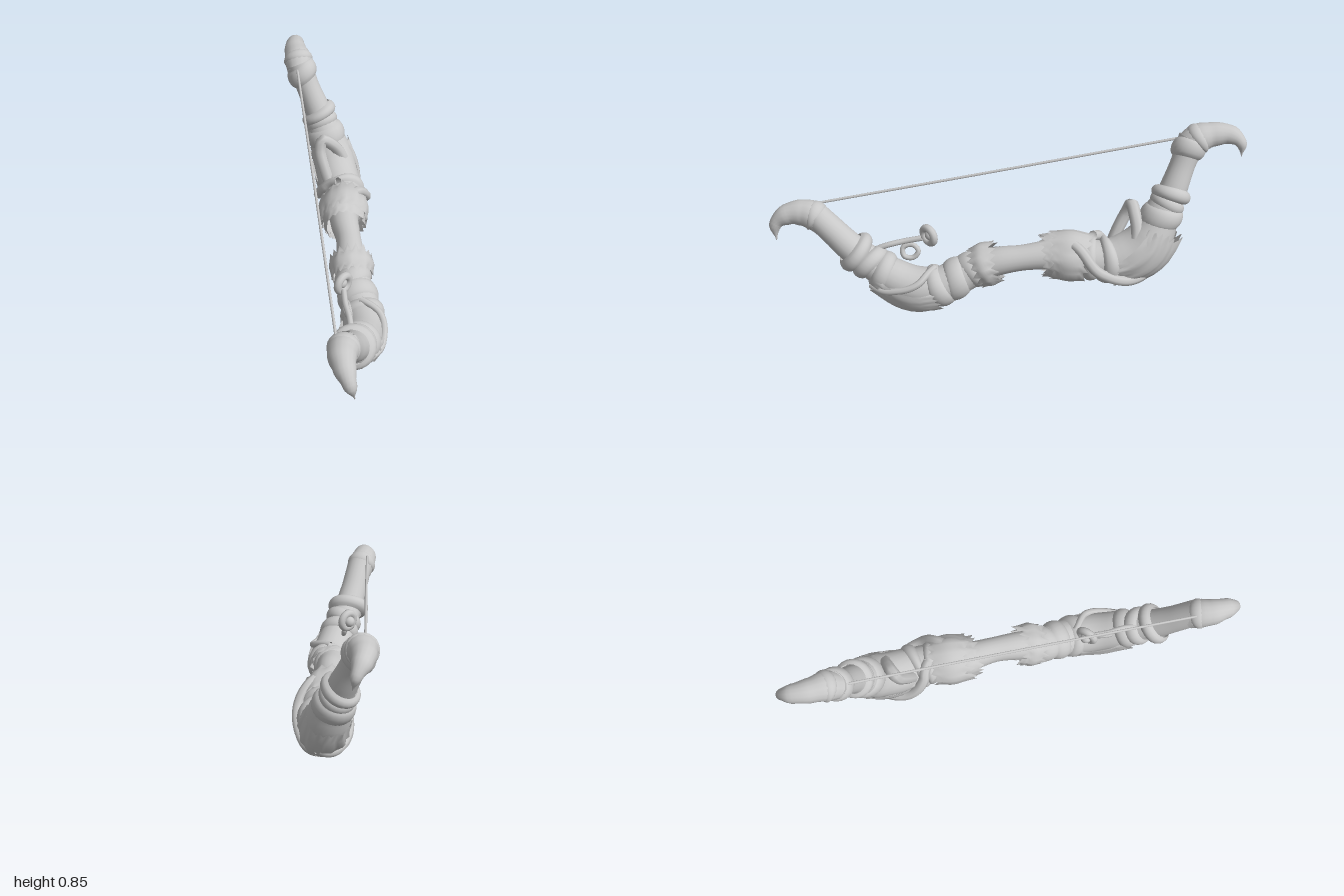
import * as THREE from 'three';

const grey = new THREE.MeshStandardMaterial({ color: 0xc8c8c8, side: THREE.DoubleSide });
grey.name = 'grey';

// limb centreline: x, y, z, radius
const LIMB = [
  [-0.31, 0.79, -0.765, 0.062], [-0.255, 0.68, -0.74, 0.056], [-0.2, 0.57, -0.715, 0.062],
  [-0.155, 0.47, -0.685, 0.082], [-0.105, 0.36, -0.645, 0.1], [-0.055, 0.29, -0.56, 0.1],
  [-0.005, 0.27, -0.46, 0.088], [0.02, 0.28, -0.36, 0.088], [0.05, 0.28, -0.24, 0.066],
  [0.1, 0.27, -0.12, 0.058], [0.14, 0.245, 0, 0.065], [0.175, 0.2, 0.1, 0.08],
  [0.235, 0.145, 0.2, 0.085], [0.272, 0.125, 0.3, 0.093], [0.288, 0.155, 0.42, 0.088],
  [0.292, 0.215, 0.53, 0.072], [0.293, 0.28, 0.63, 0.066], [0.295, 0.35, 0.71, 0.062],
  [0.3, 0.425, 0.79, 0.06],
];
const BACK_HORN = [
  [-0.295, 0.755, -0.745, 0.06], [-0.315, 0.79, -0.79, 0.066], [-0.345, 0.805, -0.85, 0.054],
  [-0.365, 0.805, -0.92, 0.043], [-0.362, 0.775, -0.97, 0.026], [-0.35, 0.715, -0.98, 0.002],
];
const FRONT_HORN = [
  [0.295, 0.39, 0.76, 0.06], [0.297, 0.42, 0.805, 0.066], [0.305, 0.428, 0.86, 0.06],
  [0.33, 0.42, 0.92, 0.048], [0.362, 0.38, 0.965, 0.03], [0.382, 0.305, 0.957, 0.002],
];

const vec = p => new THREE.Vector3(p[0], p[1], p[2]);
const makeSpine = pts => ({
  curve: new THREE.CatmullRomCurve3(pts.map(vec)),
  last: pts.length - 1,
  radius(i) {
    const k = Math.min(Math.max(Math.floor(i), 0), pts.length - 2);
    return THREE.MathUtils.lerp(pts[k][3], pts[k + 1][3], THREE.MathUtils.smoothstep(i - k, 0, 1));
  },
});

// point at station i, angle a (PI/2 faces the string, 3PI/2 the outside), distance r
function around(spine, i, a, r) {
  const u = THREE.MathUtils.clamp(i / spine.last, 0, 1);
  const t = spine.curve.getTangent(u);
  const up = t.clone().cross(new THREE.Vector3(1, 0, 0)).normalize();
  const side = t.clone().cross(up);
  return spine.curve.getPoint(u)
    .addScaledVector(side, Math.cos(a) * r).addScaledVector(up, Math.sin(a) * r);
}

// skin over a spine; rule(v, a, col) returns [station, radius]
function skin(name, spine, rows, cols, rule, a0 = 0, a1 = Math.PI * 2) {
  const closed = a1 - a0 > 6.28, w = closed ? cols : cols + 1;
  const pos = [], index = [];
  for (let i = 0; i <= rows; i++) for (let j = 0; j < w; j++) {
    const a = a0 + (a1 - a0) * j / cols;
    const [s, r] = rule(i / rows, a, j);
    pos.push(...around(spine, s, a, r).toArray());
  }
  for (let i = 0; i < rows; i++) for (let j = 0; j < cols; j++) {
    const k = (j + 1) % w;
    const p = i * w + j, q = i * w + k;
    index.push(p, p + w, q, q, p + w, q + w);
  }
  const g = new THREE.BufferGeometry();
  g.setAttribute('position', new THREE.Float32BufferAttribute(pos, 3));
  g.setIndex(index);
  g.computeVertexNormals();
  return named(name, g);
}

function named(name, geometry) {
  const m = new THREE.Mesh(geometry, grey);
  m.name = name;
  return m;
}

let seed = 7;
const rand = () => (seed = (seed * 16807) % 2147483647) / 2147483647;

// rounded wrap around the limb, leaning by tilt stations
const band = (name, spine, i0, i1, r, tilt = 0, phase = 0) => skin(name, spine, 8, 24, (v, a) => [
  i0 + (i1 - i0) * v + tilt * Math.sin(a + phase),
  r * (0.76 + 0.24 * Math.pow(Math.sin(Math.PI * v), 0.6)),
]);

// ragged pelt: swollen middle, torn pointed tips at both ends, flanks drawn in by squash
function fur(name, spine, i0, i1, r, squash = 0, a0 = 0, a1 = Math.PI * 2, cols = 30) {
  const tips = Array.from({ length: cols + 1 }, (_, j) => (j % 2 ? 0.14 : -0.06) + rand() * 0.1);
  const rough = tips.map(() => 0.95 + rand() * 0.1);
  return skin(name, spine, 8, cols, (v, a, j) => {
    const end = Math.abs(2 * v - 1);
    const reach = tips[j] * Math.pow(end, 3) * Math.sign(v - 0.5);
    const flare = j % 2 ? 0.08 * Math.pow(end, 4) : 0;
    const flank = 1 - squash * Math.cos(a) ** 2;
    return [i0 + (i1 - i0) * v + reach, r * flank * rough[j] * (1 - 0.16 * end * end + flare)];
  }, a0, a1);
}

// strap wound along the limb from station i0 to i1, angle a0 to a1
function strap(name, spine, i0, i1, a0, a1, lift, thick) {
  const pts = [];
  for (let k = 0; k <= 12; k++) {
    const i = i0 + (i1 - i0) * k / 12;
    pts.push(around(spine, i, a0 + (a1 - a0) * k / 12, spine.radius(i) + lift));
  }
  return named(name, new THREE.TubeGeometry(new THREE.CatmullRomCurve3(pts), 36, thick, 8));
}

const cord = (name, pts, r, closed = false) => named(name,
  new THREE.TubeGeometry(new THREE.CatmullRomCurve3(pts.map(vec), closed), 32, r, 8, closed));

export function createModel() {
  const bow = new THREE.Group();
  bow.name = 'bow';
  const limb = makeSpine(LIMB), back = makeSpine(BACK_HORN), front = makeSpine(FRONT_HORN);

  // wooden body and curved horn tips
  bow.add(skin('limb', limb, 90, 20, v => [v * 18, limb.radius(v * 18)]));
  [['backHorn', back], ['frontHorn', front]].forEach(([name, s]) =>
    bow.add(skin(name, s, 24, 16, v => [v * s.last, s.radius(v * s.last)])));

  // collars under the horns
  bow.add(band('backHornCollar', limb, 0.05, 0.75, 0.076, 0.12, 1));
  bow.add(band('backHornKnot', back, 0.7, 1.4, 0.07, 0.1));
  bow.add(band('frontHornCollar', front, 0.4, 1.3, 0.07, 0.1));

  // stacked wraps: start, end, radius, tilt, phase
  [
    [1.9, 2.4, 0.088, 0.12, 1], [2.25, 2.8, 0.08, 0.08, 2], [2.65, 3.5, 0.094, 0.1, 0],
    [5.6, 6.2, 0.108, 0.2, 2], [6.2, 6.8, 0.1, 0.1, 0],
    [10.5, 11.3, 0.087, 0.12, 1], [11.2, 12, 0.094, 0.12, 3], [11.9, 12.7, 0.1, 0.1, 0],
    [14.2, 14.85, 0.094, 0.08, 1], [14.8, 15.4, 0.09, 0.1, 4], [15.45, 16.05, 0.098, 0.12, 2],
  ].forEach(([i0, i1, r, t, p], k) => bow.add(band('wrap' + (k + 1), limb, i0, i1, r, t, p)));

  // fur cuffs beside the grip
  bow.add(fur('rearFurCuff', limb, 6.75, 7.9, 0.118));
  bow.add(fur('rearFurCuffInner', limb, 7.5, 8.2, 0.1));
  bow.add(fur('gripFurCuff', limb, 10.0, 10.65, 0.1));

  // fur pelts on the outer bends
  bow.add(fur('rearPelt', limb, 3.65, 5.5, 0.136, 0.2, Math.PI * 0.9, Math.PI * 2.1, 26));
  bow.add(fur('frontPelt', limb, 12.5, 14.4, 0.119, 0.12, Math.PI * 0.95, Math.PI * 2.05, 26));

  // crossing straps
  bow.add(strap('rearStrap', limb, 7.2, 4.6, Math.PI * 0.65, Math.PI * 1.5, 0.018, 0.024));
  bow.add(strap('rearStrapLower', limb, 6.6, 4.2, Math.PI * 2.4, Math.PI * 1.5, 0.018, 0.024));
  bow.add(strap('frontStrap', limb, 12.2, 14.6, Math.PI * 0.5, Math.PI * 1.2, 0.006, 0.016));
  bow.add(cord('rearLoop', [[-0.06, 0.27, -0.47], [-0.11, 0.38, -0.5], [-0.14, 0.46, -0.53],
    [-0.135, 0.507, -0.55], [-0.1, 0.48, -0.575], [-0.06, 0.42, -0.6], [-0.02, 0.34, -0.6]], 0.028));

  // hanging bead with its cords
  const bead = named('bead', new THREE.TorusGeometry(0.036, 0.018, 10, 20));
  bead.position.set(0.175, 0.345, 0.3);
  bead.rotation.y = Math.PI * 0.35;
  const core = named('beadCore', new THREE.SphereGeometry(0.026, 14, 10));
  core.position.set(0.165, 0.343, 0.295);
  bow.add(bead, core);
  bow.add(cord('beadCord', [[0.185, 0.33, 0.33], [0.21, 0.315, 0.4], [0.245, 0.3, 0.47], [0.27, 0.27, 0.54]], 0.013));
  bow.add(cord('beadTie', [[0.205, 0.27, 0.34], [0.2, 0.295, 0.37], [0.215, 0.28, 0.41], [0.23, 0.245, 0.4],
    [0.22, 0.24, 0.36]], 0.012, true));

  // bowstring
  bow.add(cord('bowstring', [[-0.32, 0.797, -0.765], [-0.03, 0.634, 0.005], [0.26, 0.47, 0.785]], 0.006));
  return bow;
}
